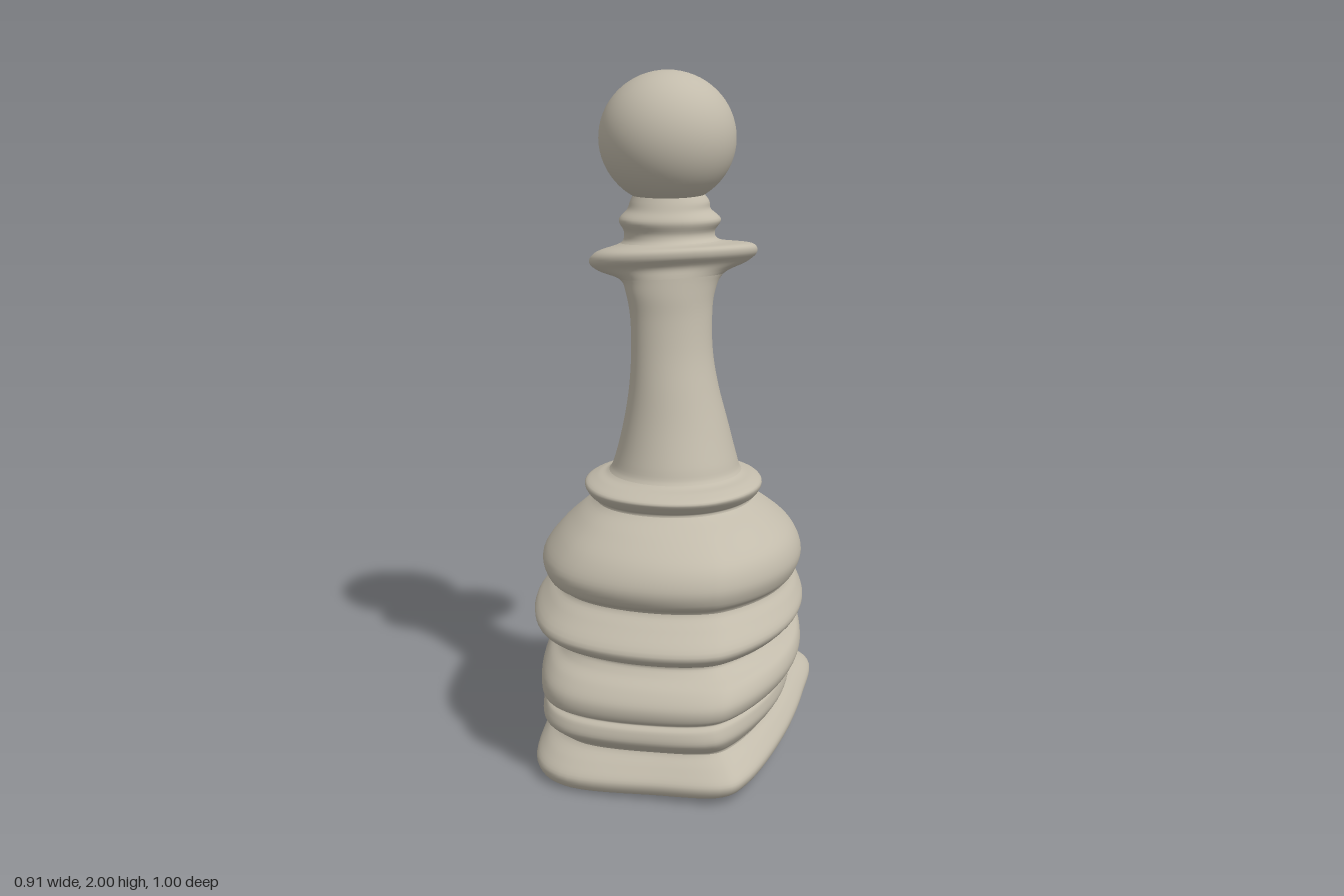
import * as THREE from 'three';

const SEGMENTS = 96;
const STEPS = 5;

// Skewed, rounded square seen from above; extents normalised to +-1
const outline = new THREE.CatmullRomCurve3([
  [-0.15, -0.5], [0.1, -0.4], [0.38, -0.31], [0.455, -0.2], [0.39, 0], [0.27, 0.24], [0.12, 0.45],
  [0.05, 0.495], [-0.15, 0.43], [-0.4, 0.31], [-0.455, 0.2], [-0.39, -0.08], [-0.29, -0.36], [-0.23, -0.47],
].map(([x, z]) => new THREE.Vector3(x / 0.455, 0, z / 0.497)), true);

// y, xMin, xMax, zMin, zMax, squareness, tilt along x, tilt along z
const parts = {
  foot: [
    [0.038, -0.42, 0.39, -0.43, 0.455, 1, 0.06, -0.05],
    [0.05, -0.445, 0.435, -0.47, 0.485, 1, 0.06, -0.05],
    [0.085, -0.455, 0.455, -0.497, 0.497, 1, 0.06, -0.05],
    [0.12, -0.425, 0.42, -0.46, 0.46, 0.95, 0.06, -0.05],
    [0.145, -0.385, 0.365, -0.41, 0.42, 0.8, 0.05, -0.04]],
  lowerRings: [
    [0.165, -0.41, 0.36, -0.39, 0.445, 0.7, 0.04, -0.04],
    [0.195, -0.438, 0.37, -0.39, 0.467, 0.65, 0.04, -0.04],
    [0.23, -0.43, 0.36, -0.38, 0.46, 0.6, 0.04, -0.04],
    [0.245, -0.415, 0.355, -0.375, 0.445, 0.6, 0.04, -0.04],
    [0.265, -0.44, 0.385, -0.395, 0.475, 0.6, 0.04, -0.04],
    [0.305, -0.44, 0.4, -0.405, 0.48, 0.55, 0.03, -0.04],
    [0.345, -0.415, 0.39, -0.4, 0.45, 0.5, 0.03, -0.04],
    [0.37, -0.38, 0.355, -0.365, 0.405, 0.45, 0.02, -0.04],
    [0.4, -0.37, 0.33, -0.34, 0.385, 0.4, 0.01, -0.05]],
  middleRing: [
    [0.43, -0.425, 0.36, -0.365, 0.45, 0.38, 0.01, -0.05],
    [0.47, -0.455, 0.387, -0.392, 0.48, 0.35, 0.01, -0.05],
    [0.515, -0.41, 0.37, -0.37, 0.43, 0.32, 0, -0.03],
    [0.545, -0.375, 0.345, -0.345, 0.395, 0.3, 0, -0.01]],
  dome: [
    [0.57, -0.41, 0.36, -0.365, 0.425, 0.25, 0, 0],
    [0.62, -0.42, 0.372, -0.375, 0.435, 0.22, 0, 0],
    [0.68, -0.375, 0.345, -0.345, 0.405, 0.2, 0, 0],
    [0.735, -0.31, 0.28, -0.285, 0.325, 0.15, 0, 0],
    [0.775, -0.255, 0.22, -0.222, 0.245, 0.1, 0, 0]],
  shoulderRing: [
    [0.795, -0.275, 0.235, -0.23, 0.265, 0.1, 0, 0],
    [0.825, -0.287, 0.242, -0.24, 0.29, 0.1, 0, 0],
    [0.842, -0.25, 0.215, -0.21, 0.25, 0.05, 0, 0],
    [0.855, -0.21, 0.18, -0.182, 0.2, 0, 0, 0]],
  stem: [
    [0.9, -0.19, 0.165, -0.17, 0.18, 0, 0, 0],
    [1.0, -0.165, 0.14, -0.14, 0.14, 0, 0, 0],
    [1.1, -0.148, 0.115, -0.122, 0.108, 0, 0, 0],
    [1.2, -0.14, 0.1, -0.115, 0.08, 0, 0, 0],
    [1.3, -0.14, 0.1, -0.125, 0.062, 0, 0, 0],
    [1.37, -0.15, 0.11, -0.145, 0.055, 0, 0, 0],
    [1.415, -0.165, 0.14, -0.18, 0.048, 0, 0.04, 0.08]],
  collar: [
    [1.435, -0.22, 0.22, -0.3, 0.045, 0, 0.04, 0.12],
    [1.46, -0.245, 0.255, -0.35, 0.065, 0, 0.04, 0.12],
    [1.49, -0.225, 0.235, -0.32, 0.06, 0, 0.04, 0.1],
    [1.51, -0.155, 0.14, -0.245, 0.015, 0, 0.02, 0.05]],
  neck: [
    [1.54, -0.145, 0.122, -0.225, 0, 0, 0, 0],
    [1.575, -0.16, 0.14, -0.23, 0.01, 0, 0, 0],
    [1.605, -0.135, 0.11, -0.22, -0.005, 0, 0, 0],
    [1.63, -0.125, 0.105, -0.215, -0.015, 0, 0, 0],
    [1.66, -0.11, 0.08, -0.2, -0.03, 0, 0, 0]],
};
const rows = Object.values(parts).flat();

// Smooth interpolation between neighbouring rows
function rowAt(i, t) {
  const at = (k) => rows[THREE.MathUtils.clamp(k, 0, rows.length - 1)];
  const [a, b, c, d] = [at(i - 1), at(i), at(i + 1), at(i + 2)];
  return b.map((p, k) => p + 0.5 * t * (c[k] - a[k]
    + t * (2 * a[k] - 5 * p + 4 * c[k] - d[k] + t * (3 * (p - c[k]) + d[k] - a[k]))));
}

// One closed loop of points for a row
function loop([y, x0, x1, z0, z1, square, tiltX, tiltZ], scale = 1) {
  const points = [];
  for (let s = 0; s < SEGMENTS; s++) {
    const q = outline.getPoint(s / SEGMENTS);
    const r = Math.hypot(q.x, q.z);
    const f = scale * (square + (1 - square) / r);
    const dx = q.x * f * (x1 - x0) / 2, dz = q.z * f * (z1 - z0) / 2;
    points.push((x0 + x1) / 2 + dx, y + tiltX * dx + tiltZ * dz, (z0 + z1) / 2 + dz);
  }
  return points;
}

function skin(loops) {
  const index = [];
  for (let r = 0; r < loops.length - 1; r++) {
    for (let s = 0; s < SEGMENTS; s++) {
      const n = (s + 1) % SEGMENTS;
      const a = r * SEGMENTS + s, b = r * SEGMENTS + n;
      index.push(a, a + SEGMENTS, b, b, a + SEGMENTS, b + SEGMENTS);
    }
  }
  const geometry = new THREE.BufferGeometry();
  geometry.setAttribute('position', new THREE.Float32BufferAttribute(loops.flat(), 3));
  geometry.setIndex(index);
  geometry.computeVertexNormals();
  return geometry;
}

export function createModel() {
  const group = new THREE.Group();
  const stone = new THREE.MeshStandardMaterial({ color: 0xc2bbab, side: THREE.DoubleSide });
  stone.name = 'warm grey stone';
  const add = (name, geometry) => {
    const mesh = new THREE.Mesh(geometry, stone);
    mesh.name = name;
    group.add(mesh);
    return mesh;
  };

  // Turned body, each part starting at the groove that ends the one below
  let first = 0;
  for (const [name, list] of Object.entries(parts)) {
    const last = first + list.length - (first === 0 ? 1 : 0);
    const loops = [];
    for (let i = first; i < last; i++) {
      for (let k = 0; k < STEPS; k++) loops.push(loop(rowAt(i, k / STEPS)));
    }
    loops.push(loop(rows[last]));
    add(name, skin(loops));
    first = last;
  }

  // Flat underside
  add('underside', skin([loop(rows[0], 0.001), loop(rows[0])]));

  // Ball on top
  const head = add('head', new THREE.SphereGeometry(1, 48, 32));
  head.scale.set(0.2, 0.192, 0.19);
  head.position.set(-0.015, 1.808, -0.12);
  return group;
}
